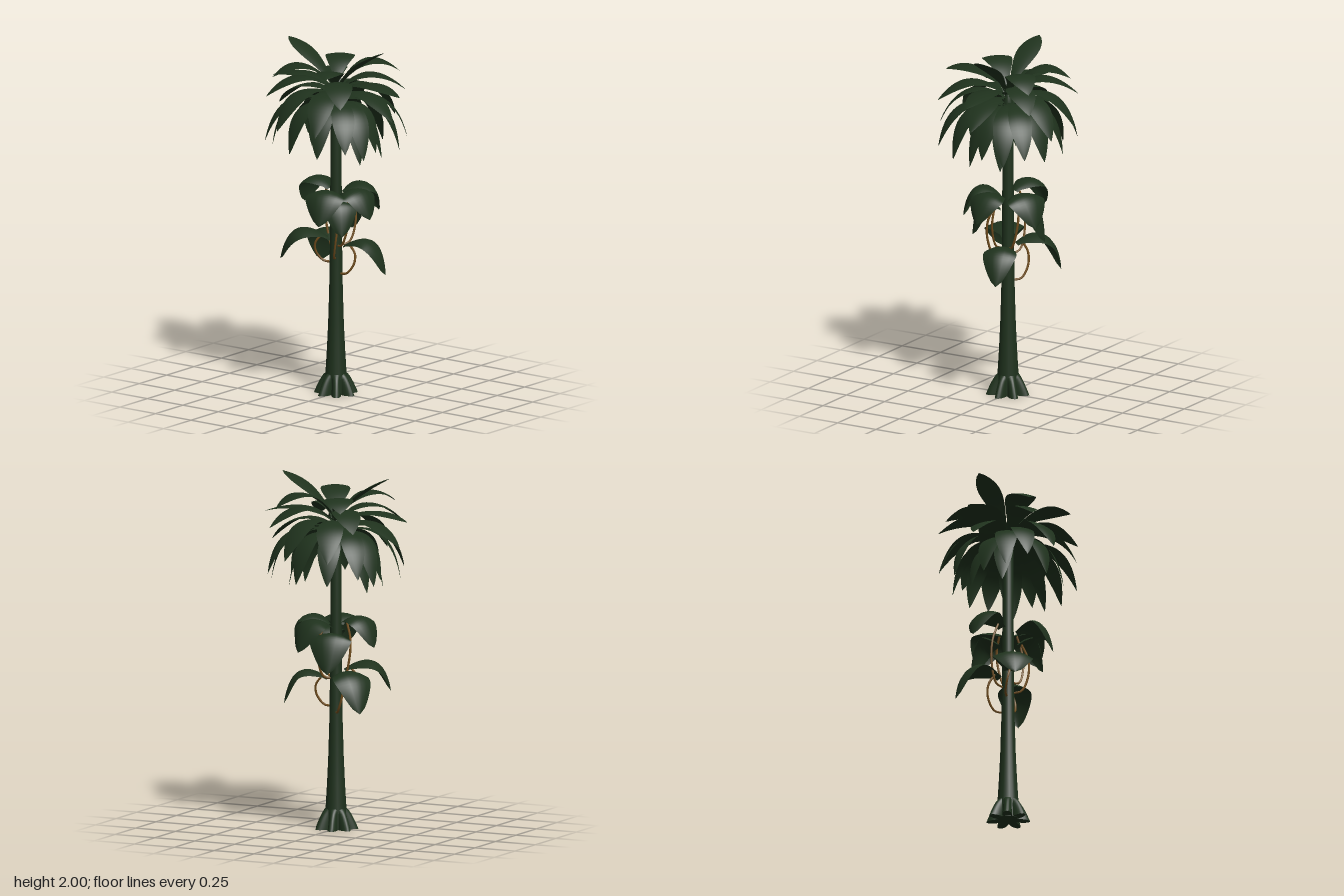
import * as THREE from 'three';

const leafMat = new THREE.MeshStandardMaterial({ color: 0x1f321d, side: THREE.DoubleSide });
leafMat.name = 'leaf green';
const barkMat = new THREE.MeshStandardMaterial({ color: 0x1f321d });
barkMat.name = 'bark green';
const stemMat = new THREE.MeshStandardMaterial({ color: 0x74501f });
stemMat.name = 'stem brown';

// Blade swept along a curve in the radial plane: points are [radius, height]; angle 0 = +x, 90 = +z.
function leaf(name, angle, p0, p1, p2, halfWidth, { bulge = 1.35, round = 0.85, fold = 0.12 } = {}) {
  const curve = new THREE.QuadraticBezierCurve(
    new THREE.Vector2(...p0), new THREE.Vector2(...p1), new THREE.Vector2(...p2));
  const geo = new THREE.PlaneGeometry(1, 1, 6, 20);
  const pos = geo.attributes.position;
  for (let i = 0; i < pos.count; i++) {
    const t = 0.5 - pos.getY(i);
    const s = pos.getX(i) * 2;
    const c = curve.getPoint(t);
    const tan = curve.getTangent(t);
    const blade = Math.pow(Math.max(0, Math.sin(Math.PI * Math.pow(t, bulge))), round);
    const w = halfWidth * Math.max(blade, t < 0.3 ? 0.28 : 0);
    // edges sink along the blade's own normal
    const sink = fold * w * s * s;
    pos.setXYZ(i, c.x + tan.y * sink, c.y - tan.x * sink, -s * w);
  }
  geo.computeVertexNormals();
  const mesh = new THREE.Mesh(geo, leafMat);
  mesh.name = name;
  mesh.rotation.y = -THREE.MathUtils.degToRad(angle);
  return mesh;
}

function trunk() {
  const profile = [[0, 0.064], [0.1, 0.06], [0.25, 0.051], [0.4, 0.044], [0.6, 0.038],
    [0.8, 0.035], [1.2, 0.032], [1.68, 0.03], [1.75, 0.014], [1.77, 0]];
  const geo = new THREE.LatheGeometry(profile.map(([y, r]) => new THREE.Vector2(r, y)), 20);
  const mesh = new THREE.Mesh(geo, barkMat);
  mesh.name = 'trunk';
  return mesh;
}

// Lobed root flare around the foot
function roots() {
  const h = 0.12;
  const radius = (a, y) =>
    0.055 + 0.07 * Math.pow(1 - y / h, 0.7) * Math.pow(0.5 - 0.5 * Math.sin(7 * a), 0.55);
  const geo = new THREE.CylinderGeometry(1, 1, h, 98, 8, true);
  const pos = geo.attributes.position;
  for (let i = 0; i < pos.count; i++) {
    const a = Math.atan2(pos.getZ(i), pos.getX(i));
    const y = Math.min(h, Math.max(0, pos.getY(i) + h / 2));
    const r = radius(a, y);
    pos.setXYZ(i, Math.cos(a) * r, y, Math.sin(a) * r);
  }
  geo.computeVertexNormals();
  const mesh = new THREE.Mesh(geo, barkMat);
  mesh.name = 'roots';
  // closed underside
  const outline = new THREE.Shape();
  for (let i = 0; i < 98; i++) {
    const a = (i / 98) * Math.PI * 2;
    const r = radius(a, 0);
    outline[i ? 'lineTo' : 'moveTo'](Math.cos(a) * r, Math.sin(a) * r);
  }
  const sole = new THREE.Mesh(new THREE.ShapeGeometry(outline), barkMat);
  sole.name = 'rootUnderside';
  sole.rotation.x = Math.PI / 2;
  sole.position.y = 0.002;
  mesh.add(sole);
  return mesh;
}

function crown() {
  const g = new THREE.Group();
  g.name = 'crown';
  // single leaves to front and back
  const axial = [
    [[0, 1.74], [0.13, 1.935], [0.335, 2.0], 0.067, { bulge: 1.7, round: 0.75 }],
    [[0, 1.73], [0.2, 1.87], [0.45, 1.76], 0.073],
    [[0, 1.71], [0.24, 1.83], [0.4, 1.61], 0.073],
    [[0.01, 1.67], [0.24, 1.76], [0.28, 1.42], 0.062],
  ];
  for (const [p0, p1, p2, w, shape] of axial)
    for (const a of [90, -90]) g.add(leaf('crownLeaf', a, p0, p1, p2, w, shape));
  // uppermost side leaves, each a little different
  const upper = [
    [40, [0.18, 2.02], [0.365, 1.83]],
    [-31, [0.18, 2.0], [0.35, 1.83]],
    [152, [0.18, 1.96], [0.35, 1.88]],
    [-138, [0.18, 2.0], [0.36, 1.83]],
  ];
  for (const [a, p1, p2] of upper) g.add(leaf('topLeaf', a, [0, 1.75], p1, p2, 0.083));
  // leaves repeated in all four quadrants
  const quads = [
    [41, [0, 1.73], [0.2, 1.93], [0.4, 1.72], 0.078],
    [20, [0, 1.72], [0.28, 1.86], [0.39, 1.55], 0.074],
    [45, [0.01, 1.69], [0.33, 1.79], [0.4, 1.46], 0.064],
    [63, [0.01, 1.68], [0.32, 1.78], [0.36, 1.41], 0.062],
    [68, [0.01, 1.66], [0.22, 1.72], [0.265, 1.36], 0.055],
    [18, [0.01, 1.67], [0.28, 1.76], [0.315, 1.41], 0.064],
  ];
  for (const [a, p0, p1, p2, w] of quads)
    for (const q of [a, -a, 180 - a, 180 + a]) g.add(leaf('crownLeaf', q, p0, p1, p2, w));
  return g;
}

// Thin stem looping out of the trunk and up to a leaf base
function stem(angle, y, drop) {
  const at = (turn, r, h) => {
    const a = THREE.MathUtils.degToRad(angle + turn);
    return new THREE.Vector3(Math.cos(a) * r, h, Math.sin(a) * r);
  };
  const path = new THREE.CatmullRomCurve3([
    at(22, 0.025, y - drop), at(18, 0.075, y - drop * 0.95), at(10, 0.115, y - drop * 0.6),
    at(4, 0.115, y - drop * 0.25), at(0, 0.08, y + 0.01)]);
  const mesh = new THREE.Mesh(new THREE.TubeGeometry(path, 24, 0.0065, 6), stemMat);
  mesh.name = 'leafStem';
  return mesh;
}

function climber() {
  const g = new THREE.Group();
  g.name = 'climbingPlant';
  // tip x, y, z, height of the arch, half width, stem drop (0 = stem hidden in the trunk)
  const tips = [
    [0.25, 1.02, 0.11, 1.19, 0.12, 0.3],
    [0.21, 0.9, -0.05, 1.12, 0.12, 0],
    [-0.25, 1.01, 0.07, 1.19, 0.115, 0],
    [-0.14, 0.94, 0.15, 1.12, 0.1, 0.3],
    [0.07, 1.05, -0.275, 1.21, 0.1, 0.36],
    [-0.04, 1.04, 0.27, 1.19, 0.11, 0.3],
    [0.09, 0.7, 0.28, 0.89, 0.095, 0.16],
    [0.195, 0.69, -0.25, 0.91, 0.11, 0.21],
    [-0.185, 0.77, -0.25, 0.94, 0.115, 0.15],
  ];
  const shape = { bulge: 1, round: 0.6, fold: 0.32 };
  for (const [x, y, z, top, w, drop] of tips) {
    const r = Math.hypot(x, z);
    const angle = THREE.MathUtils.radToDeg(Math.atan2(z, x));
    const base = top - 0.04;
    g.add(leaf('broadLeaf', angle, [0.045, base], [r * 0.86, top + 0.1], [r, y], w, shape));
    if (drop) g.add(stem(angle, base, drop));
  }
  return g;
}

export function createModel() {
  const model = new THREE.Group();
  model.name = 'palmTree';
  model.add(trunk(), roots(), crown(), climber());
  return model;
}
